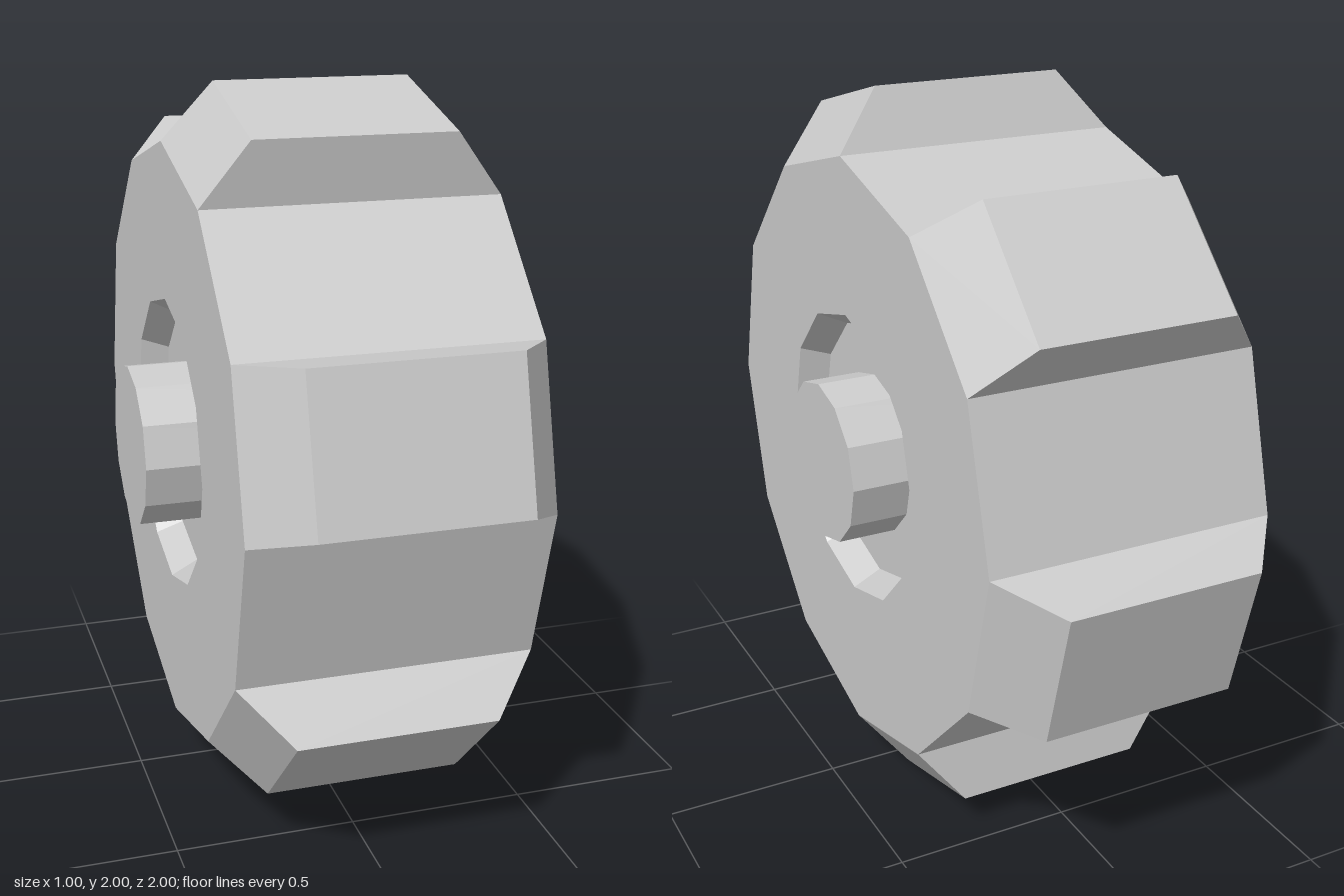
import * as THREE from 'three';

const SIDES = 12;
const RADIUS = 0.84;
const HALF_WIDTH = 0.4;
const OFFSET = 0.01; // tyre sits slightly off the axle's middle
const LUG_HEIGHT = 0.17;

const material = new THREE.MeshStandardMaterial({ color: 0xcccccc, flatShading: true });

function part(name, geometry) {
  const mesh = new THREE.Mesh(geometry, material);
  mesh.name = name;
  return mesh;
}

// Tread block: a box whose outer face is narrowed
function lugGeometry() {
  const length = 2 * RADIUS * Math.sin(Math.PI / SIDES);
  const geometry = new THREE.BoxGeometry(2 * HALF_WIDTH, LUG_HEIGHT, length);
  const p = geometry.attributes.position;
  for (let i = 0; i < p.count; i++) {
    if (p.getY(i) > 0) {
      p.setX(i, Math.sign(p.getX(i)) * 0.27);
      p.setZ(i, Math.sign(p.getZ(i)) * (length / 2 - 0.018));
    }
  }
  geometry.translate(OFFSET, RADIUS * Math.cos(Math.PI / SIDES) + LUG_HEIGHT / 2, 0);
  geometry.computeVertexNormals();
  return geometry;
}

export function createModel() {
  const wheel = new THREE.Group();
  wheel.name = 'wheel';

  // Twelve-sided tyre with a tapered recess in each face
  const left = OFFSET + HALF_WIDTH;
  const right = OFFSET - HALF_WIDTH;
  const profile = [
    [0.22, right + 0.075], [0.37, right + 0.075], [0.41, right], [RADIUS, right],
    [RADIUS, left], [0.41, left], [0.37, left - 0.08], [0.22, left - 0.08],
  ].map(([r, x]) => new THREE.Vector2(r, x));
  wheel.add(part('tyre', new THREE.LatheGeometry(profile, SIDES).rotateZ(-Math.PI / 2)));

  // Axle through both recesses
  wheel.add(part('axle', new THREE.CylinderGeometry(0.227, 0.227, 0.995, SIDES)
    .rotateZ(-Math.PI / 2).translate(-0.0025, 0, 0)));

  // Six tread blocks, one on every other side
  const lugs = new THREE.Group();
  lugs.name = 'treadBlocks';
  const geometry = lugGeometry();
  for (let i = 0; i < SIDES / 2; i++) {
    const lug = part('treadBlock', geometry);
    lug.rotation.x = Math.PI / SIDES + (i * Math.PI) / 3;
    lugs.add(lug);
  }
  wheel.add(lugs);

  wheel.position.y = 1;
  const model = new THREE.Group();
  model.name = 'wheelModel';
  model.add(wheel);
  return model;
}
